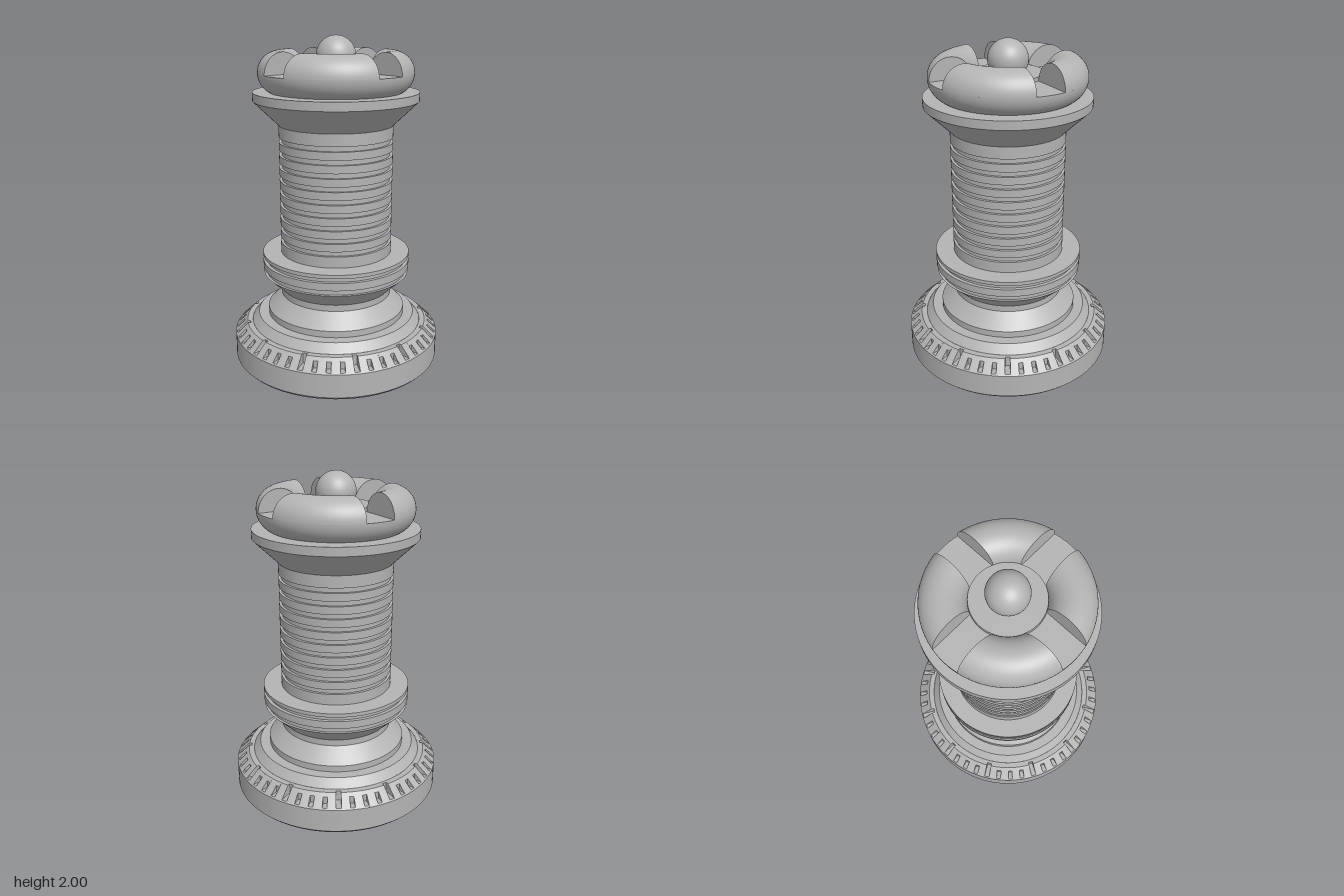
import * as THREE from 'three';
import { mergeGeometries } from 'three/addons/utils/BufferGeometryUtils.js';

const stone = new THREE.MeshStandardMaterial({ color: 0xb4b4b4, side: THREE.DoubleSide });
stone.name = 'grey';
const V = (p) => new THREE.Vector2(p[0], p[1]);

// Lathe with a hard edge at every profile point
function hardLathe(points, segments = 96, start = 0, length = Math.PI * 2) {
  const bands = [];
  for (let i = 0; i < points.length - 1; i++) {
    bands.push(new THREE.LatheGeometry([V(points[i]), V(points[i + 1])], segments, start, length));
  }
  return mergeGeometries(bands);
}

function part(parent, name, geometry) {
  const mesh = new THREE.Mesh(geometry, stone);
  mesh.name = name;
  parent.add(mesh);
  return mesh;
}

// Sloping dial ring with 48 engraved notches, every fourth one longer
function dialRing() {
  const outer = [0.644, 0.165], edge = [0.568, 0.235], inner = [0.534, 0.235];
  const lip = [0.636, 0.172];
  const pieces = [];
  const step = Math.PI * 2 / 48;
  for (let i = 0; i < 48; i++) {
    const major = i % 4 === 0;
    const half = (major ? 0.0155 : 0.0135) / 0.6;
    const rIn = major ? 0.551 : 0.588;
    const top = major ? [[rIn, 0.235]] : [[rIn, 0.217], edge];
    const a = i * step;
    pieces.push(hardLathe([outer, lip, [rIn, 0.172], ...top, inner], 2, a - half, half * 2));
    const nextHalf = (i % 4 === 3 ? 0.0155 : 0.0135) / 0.6;
    pieces.push(hardLathe([outer, edge, inner], 3, a + half, step - half - nextHalf));
    // Side walls of the notch
    const outline = major ? [lip, edge, [rIn, 0.235], [rIn, 0.172]] : [lip, [rIn, 0.217], [rIn, 0.172]];
    for (const side of [-1, 1]) {
      const wall = new THREE.ShapeGeometry(new THREE.Shape(outline.map(V)));
      pieces.push(wall.rotateY(a + side * half - Math.PI / 2));
    }
  }
  return mergeGeometries(pieces);
}

// Crown measures: ring radius, tube radius, height of slot floor, half slot width
const R = 0.334, T = 0.127, FLOOR = 1.786, HALF = 0.088;

// A quarter of the upper ring, cut by two straight slots
function lobeGeometry() {
  const nt = 28, np = 24, pos = [], idx = [];
  for (let i = 0; i <= nt; i++) {
    const t = Math.PI * i / nt;
    const r = R + T * Math.cos(t), y = FLOOR + T * Math.sin(t);
    const a0 = Math.asin(HALF / r);
    for (let j = 0; j <= np; j++) {
      const a = a0 + (Math.PI / 2 - 2 * a0) * j / np;
      pos.push(r * Math.sin(a), y, r * Math.cos(a));
      if (i < nt && j < np) {
        const k = i * (np + 1) + j, m = k + np + 1;
        idx.push(k, k + 1, m, k + 1, m + 1, m);
      }
    }
  }
  const g = new THREE.BufferGeometry();
  g.setAttribute('position', new THREE.Float32BufferAttribute(pos, 3));
  g.setIndex(idx);
  g.computeVertexNormals();
  return g;
}

// Flat end of a lobe
function lobeEnd() {
  const pts = [];
  for (let i = 0; i <= 28; i++) {
    const t = Math.PI * i / 28, r = R + T * Math.cos(t);
    pts.push(new THREE.Vector2(Math.sqrt(r * r - HALF * HALF), FLOOR + T * Math.sin(t)));
  }
  return new THREE.ShapeGeometry(new THREE.Shape(pts));
}

export function createModel() {
  const model = new THREE.Group();
  model.name = 'chessTower';

  // Foot
  part(model, 'foot', hardLathe([[0, 0], [0.625, 0], [0.644, 0.02], [0.644, 0.165]]));
  part(model, 'dialRing', dialRing());

  // Stepped base, waist and collar
  part(model, 'baseAndCollar', hardLathe([
    [0.534, 0.235], [0.492, 0.287], [0.43, 0.287], [0.43, 0.327], [0.344, 0.415],
    [0.344, 0.455], [0.452, 0.56], [0.435, 0.56], [0.435, 0.593], [0.456, 0.593],
    [0.456, 0.64], [0.435, 0.64], [0.435, 0.667], [0.456, 0.667], [0.456, 0.69], [0.344, 0.69],
  ]));

  // Column with nine grooves
  const column = [[0.344, 0.69]];
  for (let i = 8; i >= 0; i--) {
    const top = 1.408 - i * 0.0775, low = top - 0.03;
    column.push([0.344, low], [0.328, low], [0.328, top], [0.344, top]);
  }
  column.push([0.344, 1.48]);
  part(model, 'groovedColumn', hardLathe(column));

  // Flared head
  part(model, 'flaredHead', hardLathe([[0.344, 1.48], [0.494, 1.626], [0.494, 1.677], [0.38, 1.677]]));

  // Crown: lower half of the ring, slot floor and middle disc
  const crown = new THREE.Group();
  crown.name = 'crown';
  model.add(crown);
  const arc = [];
  for (let i = 0; i <= 14; i++) {
    const t = -1.06 * (1 - i / 14);
    arc.push(new THREE.Vector2(R + T * Math.cos(t), FLOOR + T * Math.sin(t)));
  }
  part(crown, 'crownUnderside', new THREE.LatheGeometry(arc, 96));
  part(crown, 'crownFloor', hardLathe([[R + T, FLOOR], [0.207, FLOOR], [0.207, 1.81], [0, 1.81]]));

  // Four lobes
  const lobe = lobeGeometry();
  const endX = lobeEnd().rotateY(-Math.PI / 2).translate(HALF, 0, 0);
  const endZ = lobeEnd().translate(0, 0, HALF);
  for (let i = 0; i < 4; i++) {
    const group = new THREE.Group();
    group.name = 'crownLobe';
    group.rotation.y = i * Math.PI / 2;
    part(group, 'lobe', lobe);
    part(group, 'lobeEnd', endX);
    part(group, 'lobeEnd', endZ);
    crown.add(group);
  }

  // Finial
  part(model, 'finialBall', new THREE.SphereGeometry(0.118, 48, 32)).position.y = 1.882;

  return model;
}
